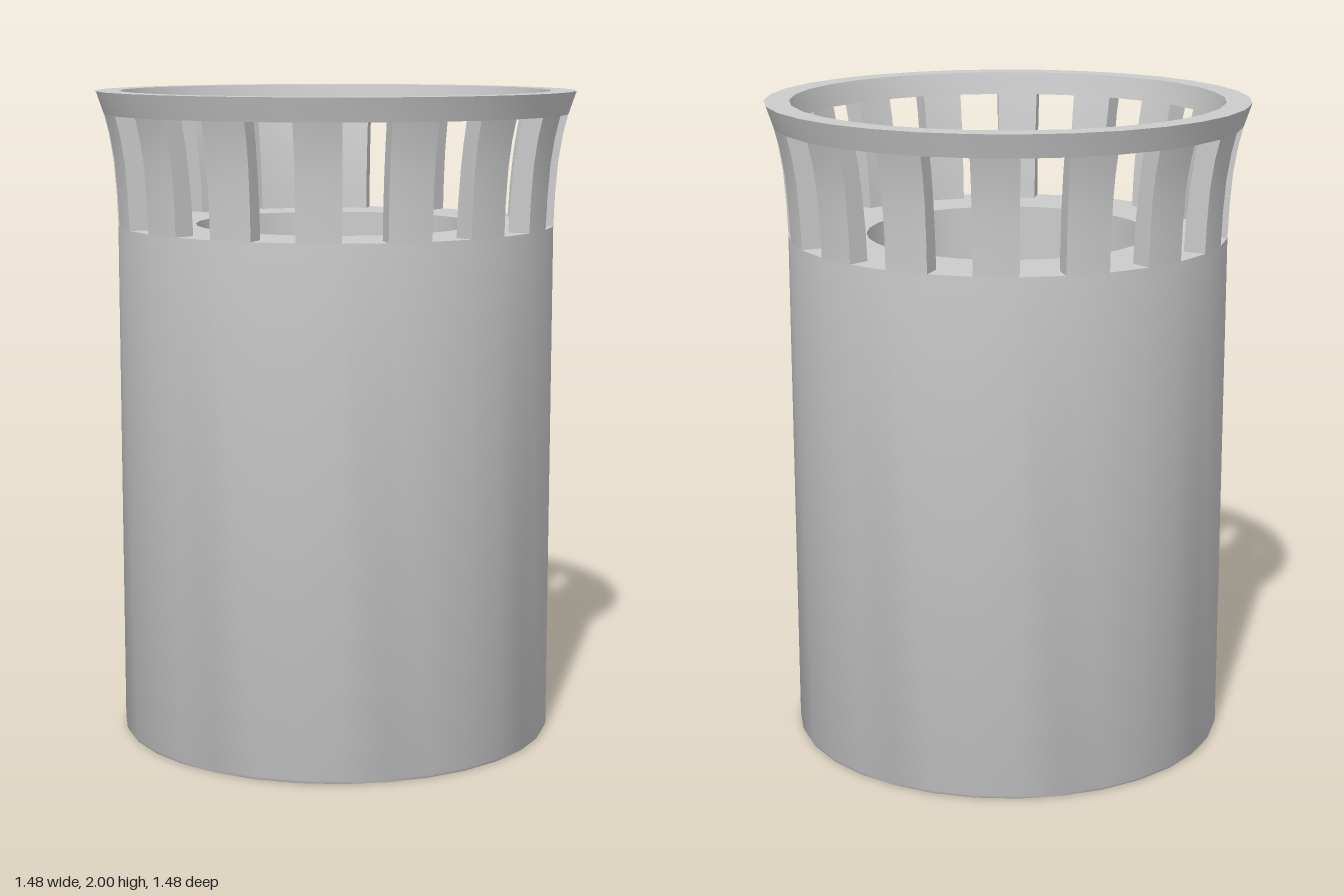
import * as THREE from 'three';
import { mergeGeometries, toCreasedNormals } from 'three/addons/utils/BufferGeometryUtils.js';

const SIDES = 32;
const STEP = (Math.PI * 2) / SIDES;
const material = new THREE.MeshStandardMaterial({ color: 0xcccccc });
const sideMaterial = new THREE.MeshStandardMaterial({ color: 0xcccccc, side: THREE.DoubleSide });

const toPoints = (pairs) => pairs.map(([r, y]) => new THREE.Vector2(r, y));

// Full turned part with sharp profile corners and smooth sides
function turned(name, pairs) {
  const geometry = toCreasedNormals(new THREE.LatheGeometry(toPoints(pairs), SIDES), 0.6);
  const mesh = new THREE.Mesh(geometry, material);
  mesh.name = name;
  return mesh;
}

export function createModel() {
  const group = new THREE.Group();
  group.name = 'flaredCup';

  // Thick-walled body with a round well and a tiny bevel at the foot
  group.add(turned('body', [
    [0, 0], [0.67, 0], [0.675, 0.01], [0.675, 1.59],
    [0.435, 1.59], [0.435, 0.2], [0, 0.2],
  ]));

  // Solid ring closing the slots at the top
  group.add(turned('rim', [
    [0.715, 1.93], [0.739, 2], [0.662, 2], [0.648, 1.93], [0.715, 1.93],
  ]));

  // Curved bars between the slots
  const outer = [[0.675, 1.59], [0.679, 1.69], [0.687, 1.79], [0.7, 1.87], [0.715, 1.93]];
  const inner = [[0.648, 1.93], [0.635, 1.87], [0.622, 1.79], [0.611, 1.69], [0.605, 1.59]];
  const faces = mergeGeometries(
    [outer, inner].map((p) => new THREE.LatheGeometry(toPoints(p), 1, 0, STEP)));
  const section = new THREE.Shape(toPoints([...outer, ...inner]));
  const sides = mergeGeometries(
    [0, STEP].map((a) => new THREE.ShapeGeometry(section).rotateY(a - Math.PI / 2)));

  for (let i = 0; i < SIDES / 2; i++) {
    const bar = new THREE.Group();
    bar.name = 'slotBar' + (i + 1);
    const faceMesh = new THREE.Mesh(faces, material);
    faceMesh.name = 'barFaces';
    const sideMesh = new THREE.Mesh(sides, sideMaterial);
    sideMesh.name = 'barSides';
    bar.add(faceMesh, sideMesh);
    bar.rotation.y = i * STEP * 2;
    group.add(bar);
  }
  return group;
}
